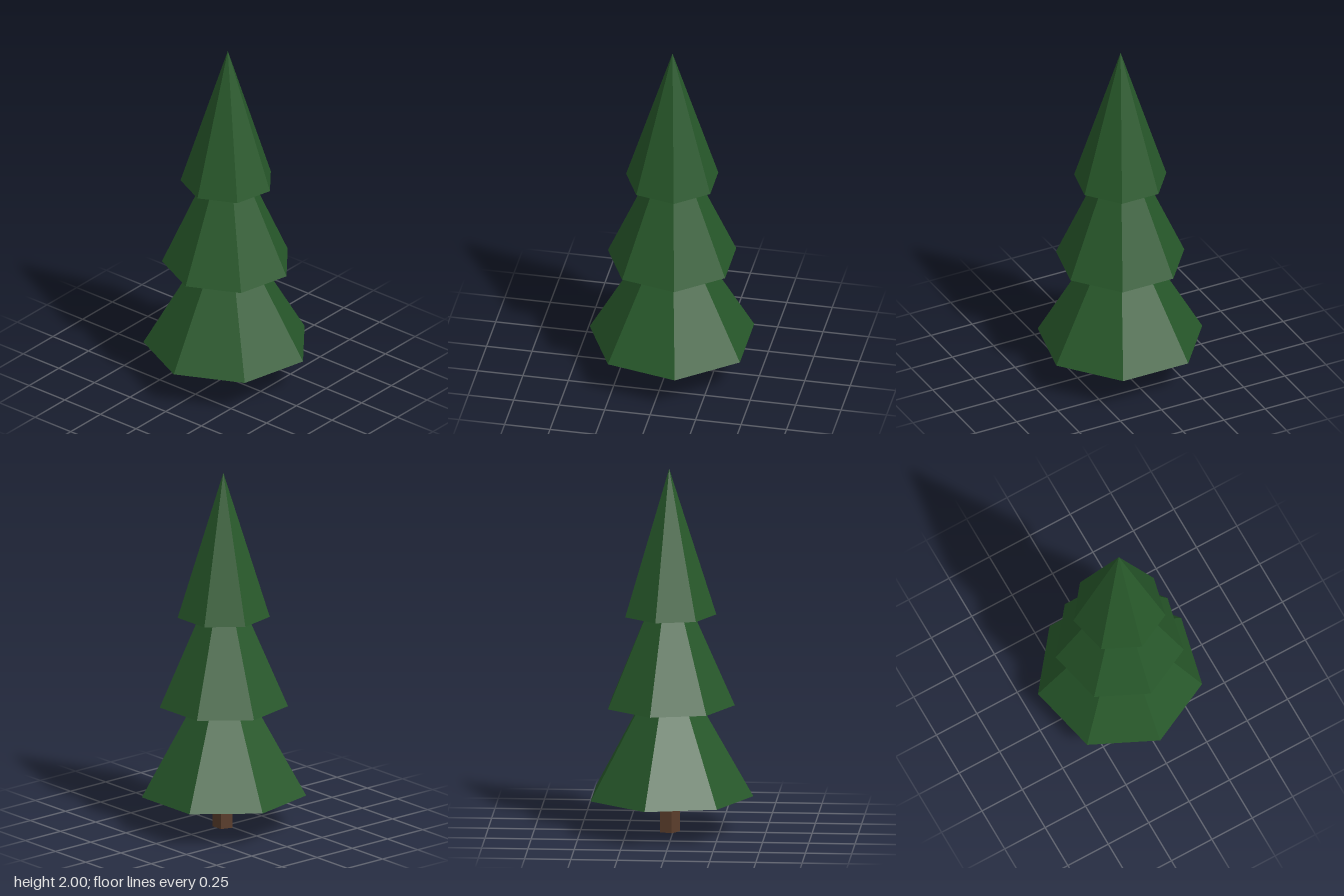
import * as THREE from 'three';

const AXIS_Z = -0.0225; // a seven-sided outline is off-centre in depth

export function createModel() {
  const tree = new THREE.Group();
  tree.name = 'pineTree';

  const needles = new THREE.MeshStandardMaterial({
    name: 'needleGreen', color: 0x27582a, flatShading: true, side: THREE.DoubleSide,
  });
  const bark = new THREE.MeshStandardMaterial({
    name: 'barkBrown', color: 0x5a3d2b, flatShading: true,
  });

  const add = (name, geometry, material, y) => {
    const mesh = new THREE.Mesh(geometry, material);
    mesh.name = name;
    mesh.position.set(0, y, AXIS_Z);
    tree.add(mesh);
  };

  // Short five-sided trunk reaching just inside the lowest tier
  add('trunk', new THREE.CylinderGeometry(0.058, 0.058, 0.3, 5), bark, 0.15);

  // Three hollow seven-sided tiers, open underneath
  const height = 0.8;
  const tiers = [
    ['lowerFoliage', 0.455, 0.2],
    ['middleFoliage', 0.355, 0.7],
    ['upperFoliage', 0.255, 1.2],
  ];
  for (const [name, radius, base] of tiers) {
    add(name, new THREE.ConeGeometry(radius, height, 7, 1, true), needles, base + height / 2);
  }

  return tree;
}
